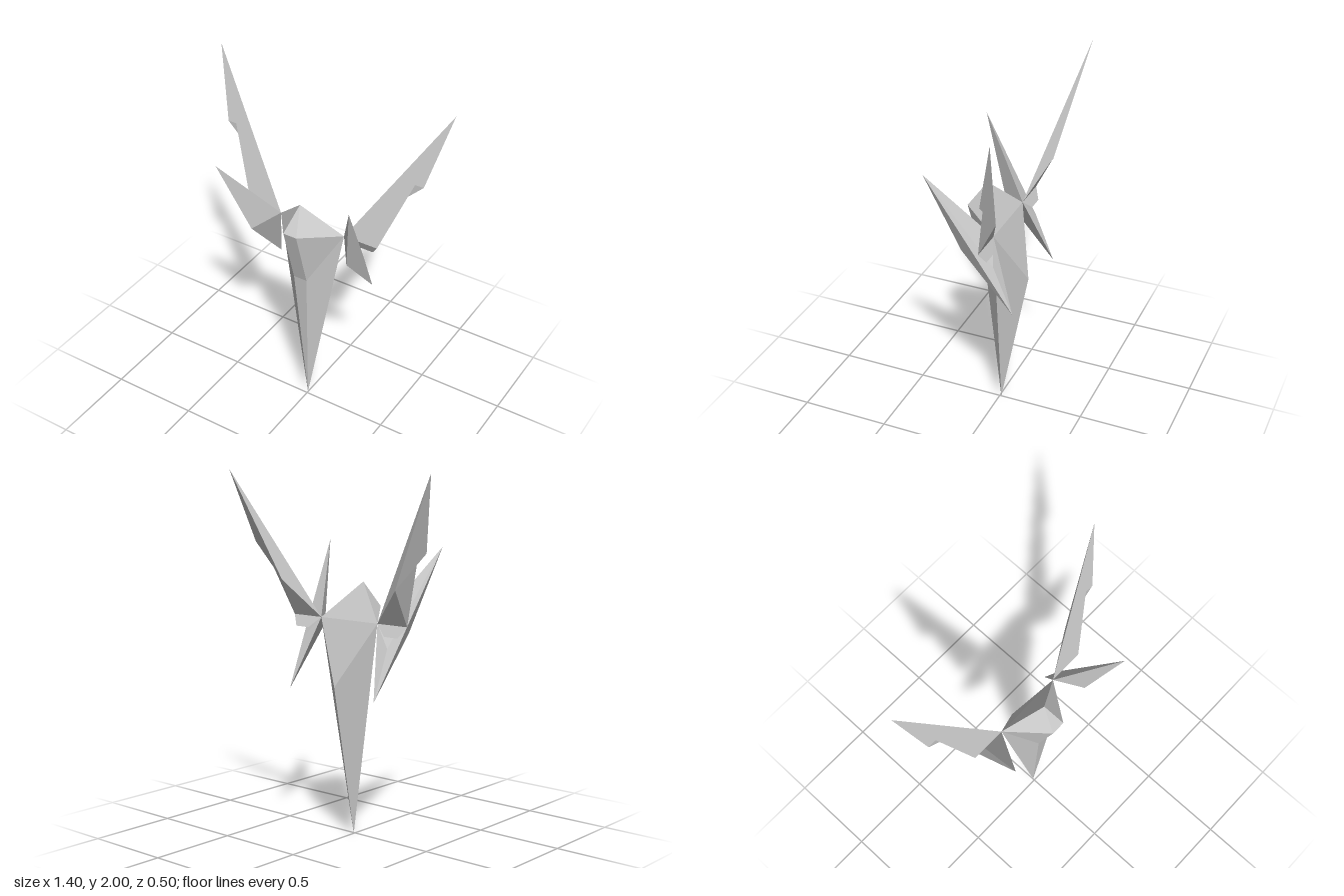
import * as THREE from 'three';
import { ConvexGeometry } from 'three/addons/geometries/ConvexGeometry.js';

const material = new THREE.MeshStandardMaterial({ color: 0xcccccc, flatShading: true, side: THREE.DoubleSide });

// Faceted mesh from named corners; each face is a string of corner letters.
// side = -1 mirrors across x and flips the winding.
function faceted(name, corners, faces, side = 1) {
  const positions = [];
  for (const face of faces) {
    const order = side < 0 ? [...face].reverse() : [...face];
    for (const key of order) {
      const [x, y, z] = corners[key];
      positions.push(x * side, y, z);
    }
  }
  const geometry = new THREE.BufferGeometry();
  geometry.setAttribute('position', new THREE.Float32BufferAttribute(positions, 3));
  geometry.computeVertexNormals();
  const mesh = new THREE.Mesh(geometry, material);
  mesh.name = name;
  return mesh;
}

const shoulder = [0.2, 1.2, -0.05];

// Pointed torso: capital letters are the +x corners, lower case their mirrors
function createBody() {
  const corners = {
    t: [0, 1.4, 0.07], k: [0, 0.85, -0.17], p: [0, 0, -0.01],
    U: [0.04, 1.26, 0.17], L: [0.04, 0.91, 0.07], S: shoulder,
  };
  for (const key of 'ULS') {
    const [x, y, z] = corners[key];
    corners[key.toLowerCase()] = [-x, y, z];
  }
  return faceted('body', corners, [
    'tuU', 'ulL', 'uLU', 'lpL',   // narrow front strip
    'tUS', 'ULS', 'LpS', 'Spk',   // +x flank
    'tsu', 'usl', 'lsp', 'skp',   // -x flank
    'tSs', 'Sks',                 // back
  ]);
}

// Swept rear wing: flat stepped front, raised to a single peak behind
function createRearWing(side) {
  const corners = {
    s: shoulder, f: [0.4, 1.2, -0.05], a: [0.55, 1.6, -0.15], b: [0.6, 1.6, -0.15],
    t: [0.7, 2, -0.25], k: [0.4, 1.4, -0.15],
    c: [0.36, 1.14, -0.08], d: [0.27, 1.14, -0.08],
  };
  const wing = new THREE.Group();
  wing.name = side > 0 ? 'leftRearWing' : 'rightRearWing';
  wing.add(
    faceted('wingBlade', corners, ['sfa', 'sat', 'abt', 'kfs', 'kaf', 'kba', 'ktb', 'kst'], side),
    faceted('wingTab', corners, ['sdc', 'scf'], side),
  );
  return wing;
}

// Spiked front blade, a convex crystal hinged at the shoulder
function createFrontBlade(side) {
  const points = [shoulder, [0.4, 1.6, 0.25], [0.3, 0.81, -0.2], [0.3, 1.14, 0.09], [0.3, 1.08, -0.09]]
    .map(([x, y, z]) => new THREE.Vector3(x * side, y, z));
  const mesh = new THREE.Mesh(new ConvexGeometry(points), material);
  mesh.name = side > 0 ? 'leftFrontBlade' : 'rightFrontBlade';
  return mesh;
}

export function createModel() {
  const model = new THREE.Group();
  model.name = 'wingedCrystal';
  model.add(createBody());
  for (const side of [1, -1]) model.add(createRearWing(side), createFrontBlade(side));
  return model;
}
